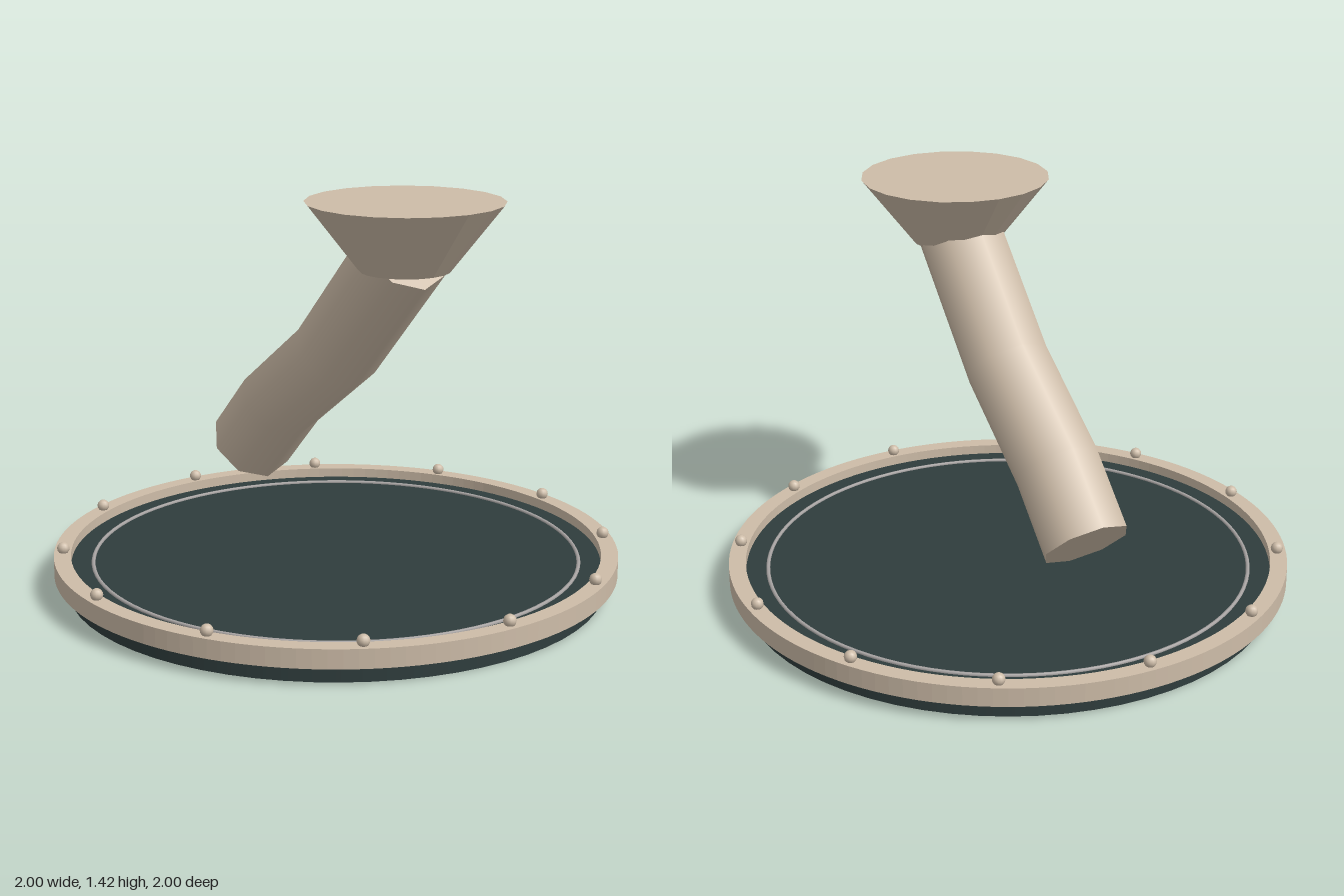
import * as THREE from 'three';

const material = (name, color) => {
  const m = new THREE.MeshStandardMaterial({ color });
  m.name = name;
  return m;
};

export function createModel() {
  const tan = material('tan', 0xcdbca8);
  const dark = material('darkTeal', 0x2f3d3d);
  const grey = material('grey', 0xaaa6a5);
  const group = new THREE.Group();

  const add = (name, geometry, mat, x = 0, y = 0, z = 0) => {
    const mesh = new THREE.Mesh(geometry, mat);
    mesh.name = name;
    mesh.position.set(x, y, z);
    group.add(mesh);
    return mesh;
  };

  // Dark round base, its top slightly below the rim
  add('base', new THREE.CylinderGeometry(0.953, 0.953, 0.095, 64), dark, 0, 0.0475, 0);

  // Flat rim ring around the base
  const ring = new THREE.Shape().absarc(0, 0, 1, 0, Math.PI * 2);
  ring.holes.push(new THREE.Path().absarc(0, 0, 0.94, 0, Math.PI * 2, true));
  const rim = new THREE.ExtrudeGeometry(ring, { depth: 0.067, bevelEnabled: false, curveSegments: 64 });
  rim.rotateX(-Math.PI / 2);
  add('rim', rim, tan, 0, 0.063, 0);

  // Fine inlaid circle
  const inlay = new THREE.TorusGeometry(0.862, 0.007, 6, 96);
  inlay.rotateX(Math.PI / 2);
  add('inlayCircle', inlay, grey, 0, 0.097, 0);

  // Twelve rivets on the rim
  const rivet = new THREE.SphereGeometry(0.022, 12, 8);
  for (let i = 0; i < 12; i++) {
    const a = (i / 12) * Math.PI * 2;
    add('rivet' + (i + 1), rivet, tan, 0.967 * Math.cos(a), 0.145, 0.967 * Math.sin(a));
  }

  // Leaning pipe: parallel octagonal rings moved onto a bent centre line
  const centres = [[-0.552, 0.382], [-0.348, 0.588], [0.003, 0.84], [0.395, 1.252]];
  const pipe = new THREE.CylinderGeometry(0.154, 0.154, 3, 8, 3);
  const pos = pipe.attributes.position;
  for (let i = 0; i < pos.count; i++) {
    const along = Math.round(pos.getY(i) + 1.5);
    pos.setY(i, 0);
    pos.setY(i, along * 10); // keep rings apart until the turn is applied
  }
  const tilt = Math.SQRT1_2;
  for (let i = 0; i < pos.count; i++) {
    const [cx, cy] = centres[Math.round(pos.getY(i) / 10)];
    const across = pos.getX(i);
    pos.setXY(i, cx + across * tilt, cy - across * tilt);
  }
  // turn the normals to match the tilted rings
  pipe.attributes.normal.applyMatrix4(new THREE.Matrix4().makeRotationZ(-Math.PI / 4));
  add('pipe', pipe, tan);

  // Faceted funnel-shaped head
  const head = new THREE.CylinderGeometry(0.333, 0.153, 0.23, 20).toNonIndexed();
  head.computeVertexNormals();
  add('funnelHead', head, tan, 0.394, 1.305, 0);

  return group;
}
